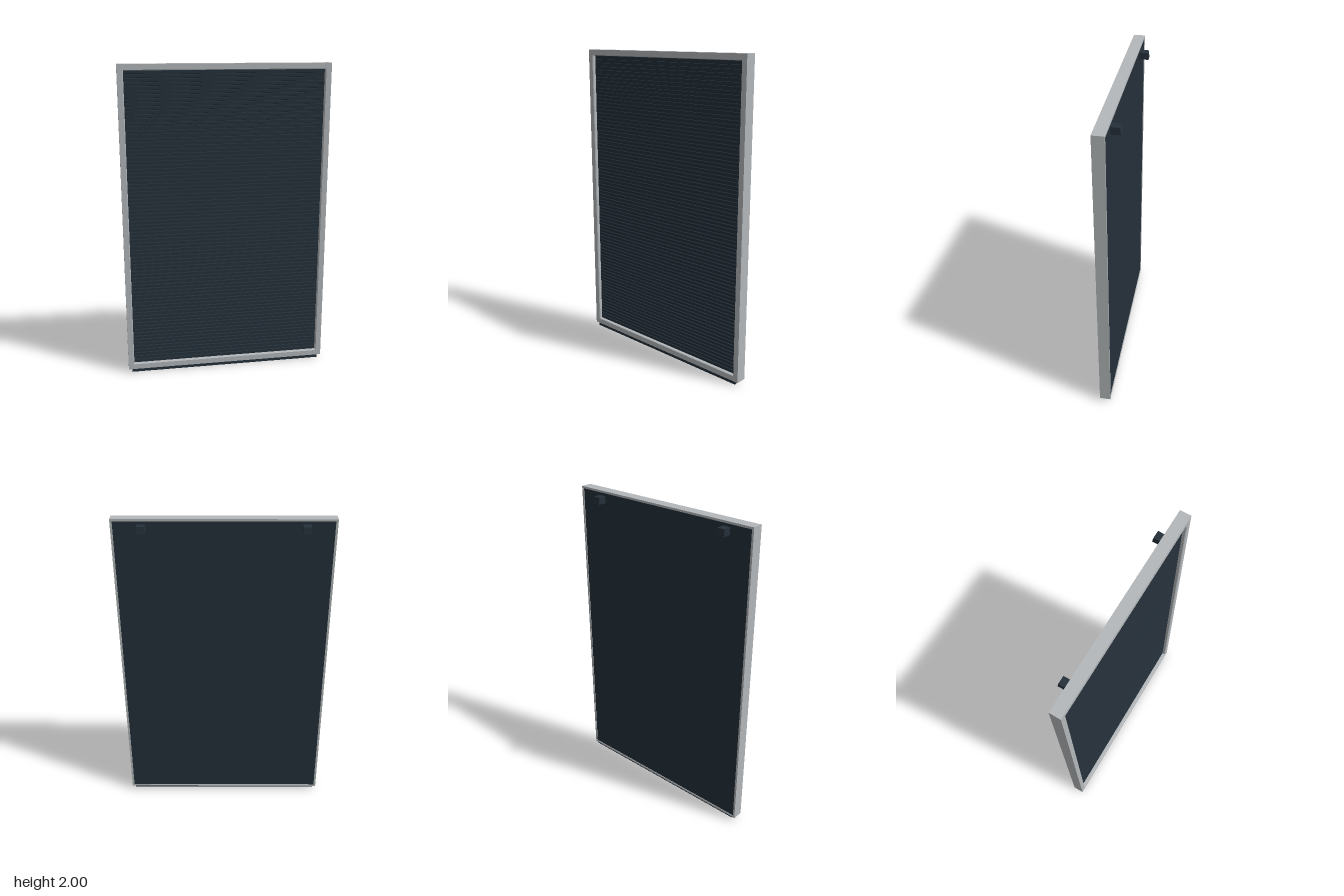
import * as THREE from 'three';

const frameGrey = new THREE.MeshStandardMaterial({ color: 0xb4b8ba });
frameGrey.name = 'frameGrey';
const darkSlate = new THREE.MeshStandardMaterial({ color: 0x25303a });
darkSlate.name = 'darkSlate';

const HALF_W = 0.66, BOTTOM = 0.022, TOP = 2;

// Side profile given as [z, y] points, swept along x
function sweepX(name, profile, width, x = 0) {
  const shape = new THREE.Shape(profile.map(([z, y]) => new THREE.Vector2(-z, y)));
  const geo = new THREE.ExtrudeGeometry(shape, { depth: width, bevelEnabled: false });
  geo.translate(0, 0, -width / 2);
  geo.rotateY(Math.PI / 2);
  const mesh = new THREE.Mesh(geo, darkSlate);
  mesh.name = name;
  mesh.position.x = x;
  return mesh;
}

// Mitred frame: a closed [inset, z] moulding section carried round the rectangle
function buildFrame() {
  const section = [
    [0, 0.062], [0.034, 0.062], [0.038, 0.057], [0.038, 0.04],
    [0.013, 0.04], [0.013, -0.008], [0, -0.008],
  ];
  const corners = [[-1, -1], [1, -1], [1, 1], [-1, 1]];
  const point = (k, j) => {
    const [sx, sy] = corners[k % 4];
    const [inset, z] = section[j % section.length];
    return [sx * (HALF_W - inset), sy < 0 ? BOTTOM + inset : TOP - inset, z];
  };
  const pos = [];
  for (let k = 0; k < 4; k++) {
    for (let j = 0; j < section.length; j++) {
      const a = point(k, j), b = point(k + 1, j), c = point(k + 1, j + 1), d = point(k, j + 1);
      pos.push(...a, ...b, ...c, ...a, ...c, ...d);
    }
  }
  const geo = new THREE.BufferGeometry();
  geo.setAttribute('position', new THREE.Float32BufferAttribute(pos, 3));
  geo.computeVertexNormals();
  const mesh = new THREE.Mesh(geo, frameGrey);
  mesh.name = 'frame';
  return mesh;
}

// Board with horizontal slots on the front and a plain back
function buildPanel() {
  const y0 = BOTTOM + 0.013, y1 = TOP - 0.013;
  const front = 0.04, floor = 0.032, back = -0.004, ridges = 82;
  const step = (y1 - y0) / ridges;
  const profile = [[back, y1], [back, y0]];
  for (let i = 0; i < ridges; i++) {
    const y = y0 + i * step;
    profile.push([floor, y + step * 0.08], [front, y + step * 0.14],
      [front, y + step * 0.86], [floor, y + step * 0.92]);
  }
  profile.push([floor, y1]);
  return sweepX('groovedPanel', profile, 2 * (HALF_W - 0.013));
}

export function createModel() {
  const model = new THREE.Group();
  model.name = 'letterBoard';
  model.add(buildFrame(), buildPanel());

  // Wedge-shaped strip under the frame
  model.add(sweepX('bottomStrip',
    [[0.056, 0], [0.056, 0.022], [-0.006, 0.022], [-0.006, 0.014]], 1.275));

  // Pair of hanging blocks on the back
  for (const side of [-1, 1]) {
    model.add(sweepX(side > 0 ? 'leftHanger' : 'rightHanger',
      [[-0.003, 1.925], [-0.062, 1.925], [-0.055, 1.968], [-0.003, 1.968]], 0.05, side * 0.48));
  }
  return model;
}
